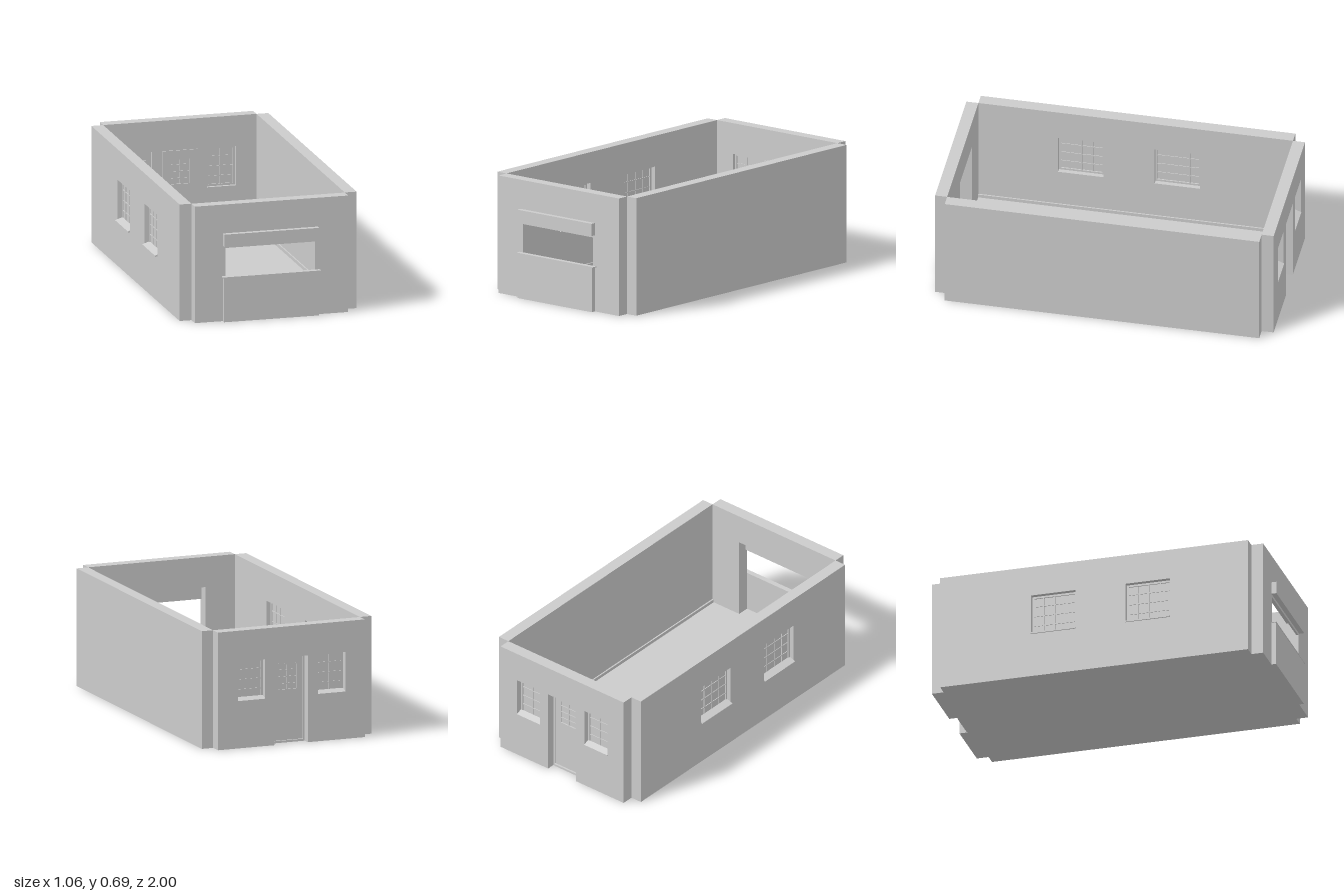
import * as THREE from 'three';

const mat = new THREE.MeshStandardMaterial({ color: 0xcccccc, flatShading: true });
const H = 0.687; // wall height
const T = 0.07;  // wall thickness

// Box given by its lower and upper limits on each axis
function box(parent, name, [x0, x1], [y0, y1], [z0, z1]) {
  const m = new THREE.Mesh(new THREE.BoxGeometry(x1 - x0, y1 - y0, z1 - z0), mat);
  m.position.set((x0 + x1) / 2, (y0 + y1) / 2, (z0 + z1) / 2);
  m.name = name;
  parent.add(m);
  return m;
}

// Wall in its own frame: u along, y up, inner face at w = 0, outer face at w = T.
// doorway = [u0, u1, top] reaches the ground; openings = [u0, u1, y0, y1]
function wall(parent, name, [u0, u1], doorway, openings = []) {
  const s = new THREE.Shape();
  s.moveTo(u0, 0);
  if (doorway) {
    const [a, b, top] = doorway;
    s.lineTo(a, 0).lineTo(a, top).lineTo(b, top).lineTo(b, 0);
  }
  s.lineTo(u1, 0).lineTo(u1, H).lineTo(u0, H).closePath();
  for (const [a, b, c, d] of openings) {
    s.holes.push(new THREE.Path().moveTo(a, c).lineTo(a, d).lineTo(b, d).lineTo(b, c).closePath());
  }
  const m = new THREE.Mesh(new THREE.ExtrudeGeometry(s, { depth: T, bevelEnabled: false }), mat);
  m.name = name;
  parent.add(m);
}

// Framed pane with glazing bars, centred on depth w
function glazing(parent, name, [u0, u1, y0, y1], w, cols, rows, frame = 0.012) {
  const g = new THREE.Group();
  g.name = name;
  parent.add(g);
  const d = [w - 0.009, w + 0.009], bar = [w - 0.006, w + 0.006];
  box(g, 'pane', [u0, u1], [y0, y1], [w - 0.002, w + 0.002]);
  for (const u of [u0, u1 - frame]) box(g, 'frameSide', [u, u + frame], [y0, y1], d);
  for (const y of [y0, y1 - frame]) box(g, 'frameRail', [u0 + frame, u1 - frame], [y, y + frame], d);
  for (let i = 1; i < cols; i++) {
    const u = u0 + (u1 - u0) * i / cols;
    box(g, 'verticalBar', [u - 0.003, u + 0.003], [y0, y1], bar);
  }
  for (let i = 1; i < rows; i++) {
    const y = y0 + (y1 - y0) * i / rows;
    box(g, 'horizontalBar', [u0, u1], [y - 0.003, y + 0.003], bar);
  }
}

// Sloping outer sill, reaching `out` beyond the wall
function sill(parent, u0, u1, y, w0, out) {
  const s = new THREE.Shape();
  s.moveTo(w0, y).lineTo(T + out, y - 0.011).lineTo(T + out, y - 0.003).lineTo(w0, y + 0.012).closePath();
  const geo = new THREE.ExtrudeGeometry(s, { depth: u1 - u0, bevelEnabled: false });
  geo.rotateY(-Math.PI / 2); // profile depth becomes w, extrusion runs along -u
  const m = new THREE.Mesh(geo, mat);
  m.position.x = u1;
  m.name = 'windowSill';
  parent.add(m);
}

export function createModel() {
  const model = new THREE.Group();
  model.name = 'openRoom';

  // Floor and skirting
  box(model, 'floor', [-0.45, 0.46], [0, 0.02], [-0.93, 0.9]);
  box(model, 'floorUnderCounter', [-0.267, 0.263], [0, 0.02], [0.9, 0.97]);
  box(model, 'skirting', [-0.45, -0.442], [0.02, 0.04], [-0.93, 0.9]);
  box(model, 'skirting', [0.452, 0.46], [0.02, 0.04], [-0.93, 0.9]);

  // Plain side wall
  box(model, 'leftWall', [0.46, 0.53], [0, H], [-0.93, 0.9]);

  // Side wall with two windows
  const right = new THREE.Group();
  right.name = 'rightSide';
  right.position.x = -0.45;
  right.rotation.y = -Math.PI / 2;
  model.add(right);
  const sideWindows = [[-0.39, -0.125, 0.265, 0.507], [0.172, 0.437, 0.265, 0.507]];
  wall(right, 'rightWall', [-0.93, 0.9], null, sideWindows);
  for (const o of sideWindows) {
    glazing(right, 'sideWindow', o, 0.035, 4, 4);
    sill(right, o[0], o[1], 0.272, 0.04, 0.014);
  }

  // Back wall with a door between two windows
  const back = new THREE.Group();
  back.name = 'backSide';
  back.position.z = -0.93;
  back.rotation.y = Math.PI;
  model.add(back);
  const backWindows = [[-0.337, -0.167, 0.275, 0.507], [0.16, 0.33, 0.275, 0.507]];
  wall(back, 'backWall', [-0.46, 0.45], [-0.108, 0.097, 0.507], backWindows);
  for (const o of backWindows) {
    glazing(back, 'backWindow', o, 0.028, 2, 4);
    sill(back, o[0], o[1], 0.28, 0.035, 0.003);
  }

  // Door with a glazed light, its frame and its handle
  const door = new THREE.Group();
  door.name = 'door';
  back.add(door);
  const depth = [-0.003, 0.014];
  box(door, 'lowerPanel', [-0.1, 0.089], [0.012, 0.3], depth);
  box(door, 'topRail', [-0.1, 0.089], [0.46, 0.499], depth);
  box(door, 'hingeStile', [-0.1, -0.068], [0.3, 0.46], depth);
  box(door, 'lockStile', [0.057, 0.089], [0.3, 0.46], depth);
  glazing(door, 'doorLight', [-0.068, 0.057, 0.3, 0.46], 0.006, 2, 4, 0.008);
  box(door, 'jamb', [-0.108, -0.1], [0, 0.507], [-0.006, 0.02]);
  box(door, 'jamb', [0.089, 0.097], [0, 0.507], [-0.006, 0.02]);
  box(door, 'doorHead', [-0.1, 0.089], [0.499, 0.507], [-0.006, 0.02]);
  box(door, 'threshold', [-0.1, 0.089], [0, 0.012], [-0.006, 0.025]);
  box(door, 'handleStem', [0.07, 0.077], [0.282, 0.289], [-0.02, -0.003]);
  box(door, 'handleLever', [0.042, 0.08], [0.282, 0.289], [-0.024, -0.017]);

  // Front wall with the serving opening
  const front = new THREE.Group();
  front.name = 'frontSide';
  front.position.z = 0.9;
  model.add(front);
  wall(front, 'frontWall', [-0.45, 0.46], [-0.267, 0.263, 0.51]);
  box(front, 'openingHeader', [-0.267, 0.263], [0.43, 0.51], [0.058, T]);
  box(front, 'fasciaBoard', [-0.284, 0.279], [0.445, 0.517], [T, 0.1]);
  box(front, 'counter', [-0.284, 0.279], [0, 0.26], [T, 0.098]);
  box(front, 'counterTop', [-0.29, 0.29], [0.26, 0.265], [T, 0.1]);
  return model;
}
